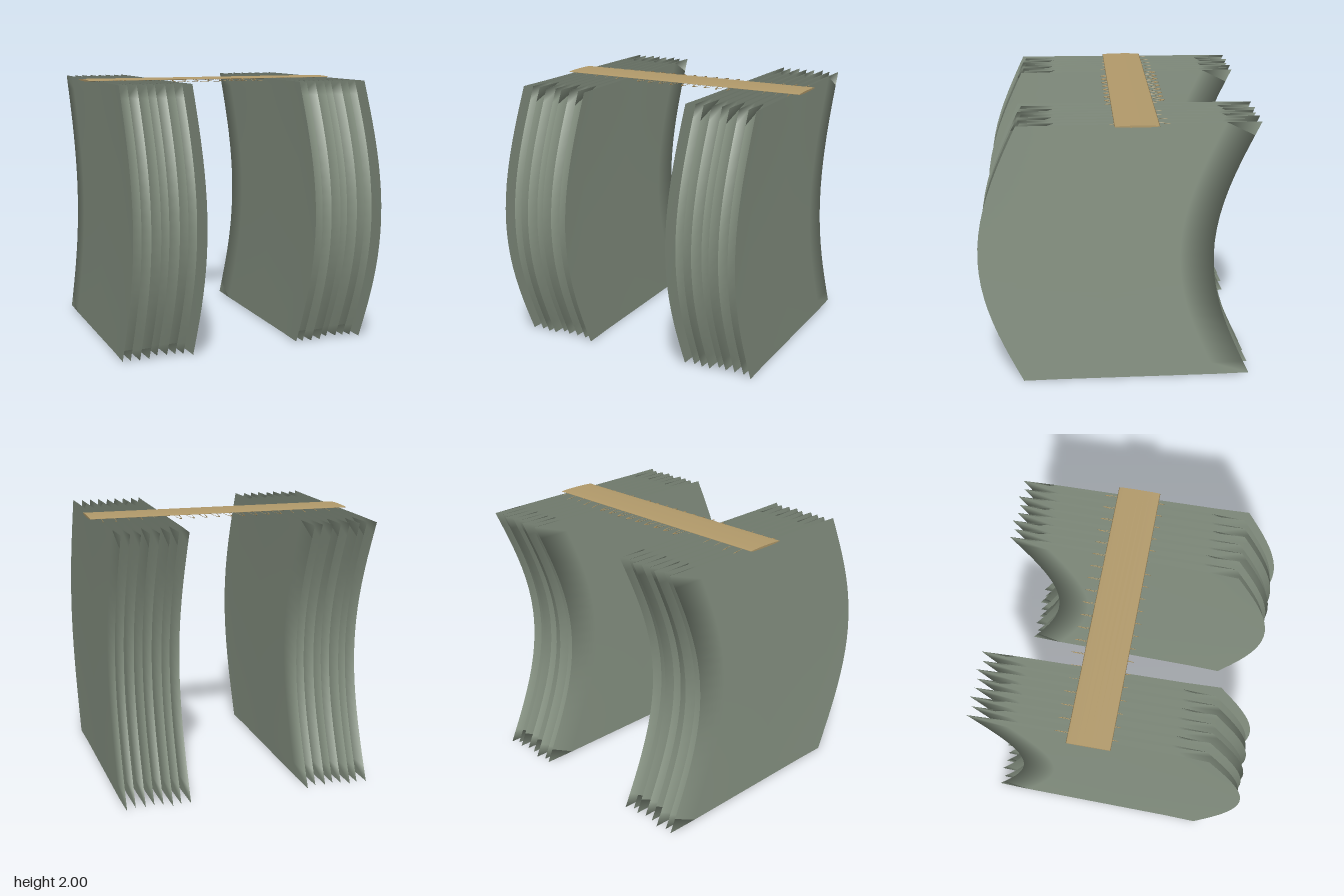
import * as THREE from 'three';

const fabric = new THREE.MeshStandardMaterial({ color: 0x8a9686, side: THREE.DoubleSide });
const wood = new THREE.MeshStandardMaterial({ color: 0xb39b6b });

const WIDTH = 0.54, PLEATS = 8, TOP = 1.993;

// One sheet folded into deep pleats, bowing forward at mid height, with a wavy hem
function pleatedPanel(x0) {
  const geo = new THREE.PlaneGeometry(1, 1, PLEATS * 8, 20);
  const pos = geo.attributes.position;
  for (let i = 0; i < pos.count; i++) {
    const u = pos.getX(i) + 0.5, v = pos.getY(i) + 0.5;
    const hem = 0.013 - 0.011 * Math.sin((u * WIDTH / 0.46) * Math.PI * 2);
    const depth = 0.835 + 0.015 * Math.cos(u * Math.PI * 6);
    const bow = 0.3 * Math.sin(v * Math.PI);
    pos.setXYZ(i,
      x0 + u * WIDTH,
      hem + v * (TOP - hem),
      -0.15 + depth * Math.cos(u * PLEATS * Math.PI * 2) + bow);
  }
  geo.computeVertexNormals();
  return new THREE.Mesh(geo, fabric);
}

export function createModel() {
  const model = new THREE.Group();
  model.name = 'curtains';

  // Pair of curtain panels
  for (const [name, x0] of [['rightPanel', -0.96], ['leftPanel', 0.42]]) {
    const panel = pleatedPanel(x0);
    panel.name = name;
    model.add(panel);
  }

  // Flattened rod across the top
  const rodGeo = new THREE.CylinderGeometry(1, 1, 2, 24);
  rodGeo.rotateZ(Math.PI / 2);
  rodGeo.scale(1, 0.0075, 0.155);
  const rod = new THREE.Mesh(rodGeo, wood);
  rod.position.set(0, 1.9925, -0.125);
  rod.name = 'rod';
  model.add(rod);

  // Thin flattened rings threaded along the rod
  const ringGeo = new THREE.TorusGeometry(0.92, 0.08, 6, 24);
  ringGeo.rotateY(Math.PI / 2);
  ringGeo.scale(0.02, 0.015, 0.225);
  const rings = new THREE.Group();
  rings.name = 'rings';
  for (let i = 0; i < 20; i++) {
    const ring = new THREE.Mesh(ringGeo, wood);
    ring.position.set((i - 9.5) * 0.097, 1.982, -0.15);
    ring.name = 'ring';
    rings.add(ring);
  }
  model.add(rings);

  return model;
}
